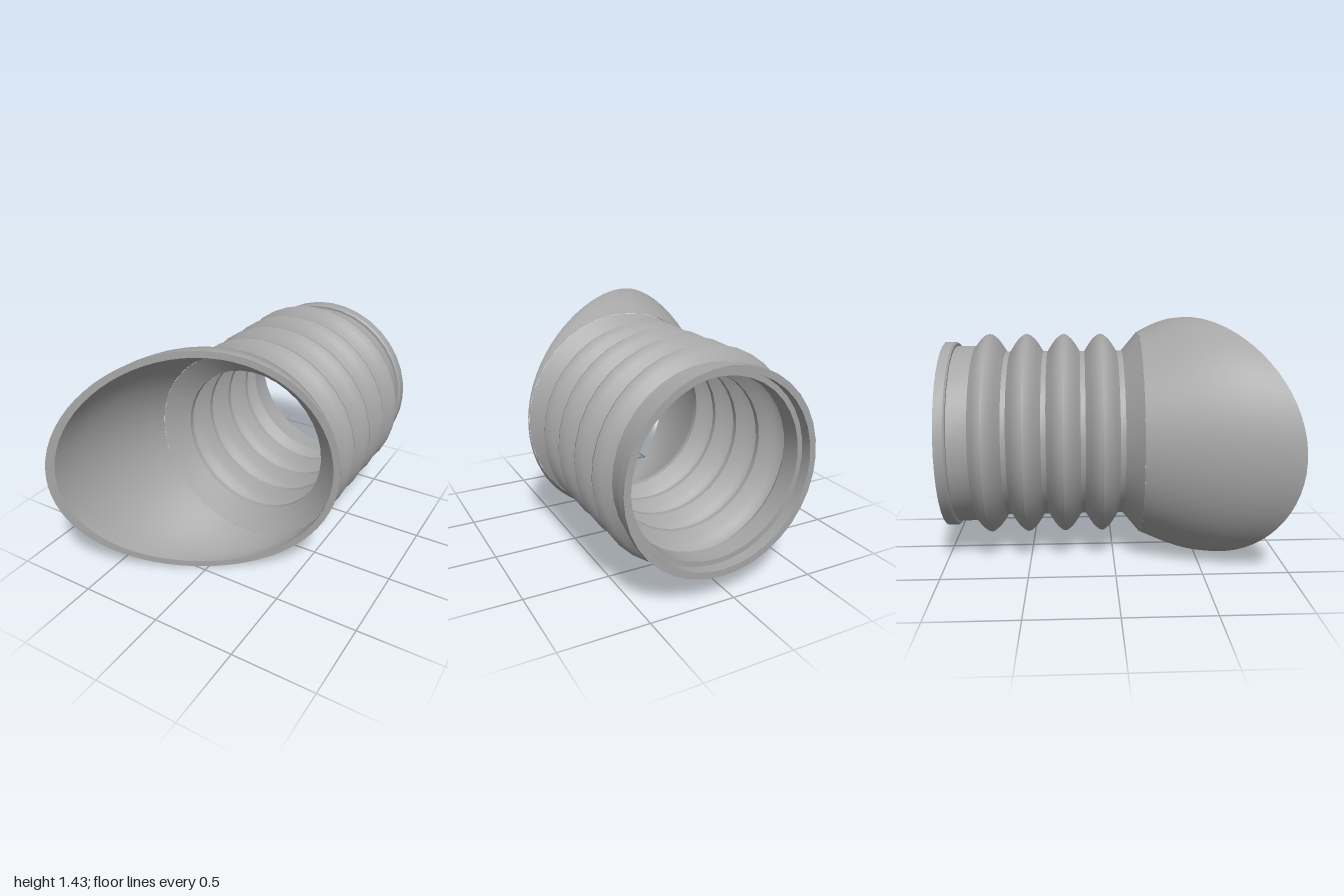
import * as THREE from 'three';
import { toCreasedNormals } from 'three/addons/utils/BufferGeometryUtils.js';

const AXIS_X = 0.077, AXIS_Y = 0.72; // axis of the round hose
const NECK_Z = 0.16;                 // where the hose meets the hood

// Hose profile as [radius, z], back to front, on the outside of the wall
function outerProfile() {
  const p = [[0.565, -1], [0.565, -0.945], [0.555, -0.935], [0.54, -0.935], [0.54, -0.82]];
  for (let k = 0; k < 4; k++) {
    const z = -0.74 + k * 0.2245;
    if (k > 0) p.push([0.505, z - 0.098], [0.55, z - 0.07]);
    p.push([0.583, z - 0.045], [0.605, z - 0.018], [0.611, z], [0.605, z + 0.018],
      [0.583, z + 0.045], [0.55, z + 0.07], [0.505, z + 0.098]);
  }
  p.push([0.505, 0.062], [0.622, NECK_Z]);
  return p;
}

// Corrugated hose: inner wall front to back, then outer wall back to front
function hoseGeometry() {
  const outer = outerProfile();
  const inner = outer.slice(5).map(([r, z]) => [r - 0.047, z]);
  inner[inner.length - 1] = [0.588, NECK_Z];
  inner.unshift([0.527, -1], [0.527, -0.935], [0.497, -0.935], [0.497, -0.82]);
  const points = [...inner.reverse(), ...outer, ].map(([r, z]) => new THREE.Vector2(r, z));
  const g = new THREE.LatheGeometry(points, 36);
  g.rotateX(Math.PI / 2);
  g.translate(AXIS_X, AXIS_Y, 0);
  return toCreasedNormals(g, 0.4);
}

// Point on the hood: t runs from the round neck (0) to the slanted rim (1)
function hoodPoint(a, t, inside) {
  const c = Math.cos(a), s = Math.sin(a);
  const r = inside ? 0.588 : 0.622;
  const rx = inside ? 0.667 : 0.704, ry = inside ? 0.677 : 0.716;
  const rimX = rx * c - 0.03 * s * s;
  const rimZ = 0.46 - 0.593 * rimX + 0.255 * rimX * rimX;
  const ease = Math.sin(t * Math.PI / 2);
  return [
    THREE.MathUtils.lerp(AXIS_X + r * c, rimX, ease),
    THREE.MathUtils.lerp(AXIS_Y + r * s, AXIS_Y + ry * s, ease),
    THREE.MathUtils.lerp(NECK_Z, rimZ, t),
  ];
}

// Hood: outer wall to the rim, across the rim, and back along the inner wall
function hoodGeometry() {
  const segments = 72, steps = 8, rows = [];
  for (let j = 0; j <= steps; j++) rows.push([j / steps, false]);
  for (let j = steps; j >= 0; j--) rows.push([j / steps, true]);
  const positions = [], index = [];
  rows.forEach(([t, inside], j) => {
    for (let i = 0; i < segments; i++) {
      positions.push(...hoodPoint(i / segments * Math.PI * 2, t, inside));
      if (j === rows.length - 1) continue;
      const n = (i + 1) % segments;
      const a = j * segments + i, b = j * segments + n;
      index.push(a, b, b + segments, a, b + segments, a + segments);
    }
  });
  const g = new THREE.BufferGeometry();
  g.setAttribute('position', new THREE.Float32BufferAttribute(positions, 3));
  g.setIndex(index);
  return toCreasedNormals(g, 0.5);
}

export function createModel() {
  const model = new THREE.Group();
  model.name = 'hoodedHose';
  const grey = new THREE.MeshStandardMaterial({ color: 0xa6a6a6 });
  grey.name = 'grey rubber';
  const add = (name, geometry) => {
    const mesh = new THREE.Mesh(geometry, grey);
    mesh.name = name;
    model.add(mesh);
  };
  add('corrugatedHose', hoseGeometry());
  add('slantedHood', hoodGeometry());
  return model;
}
